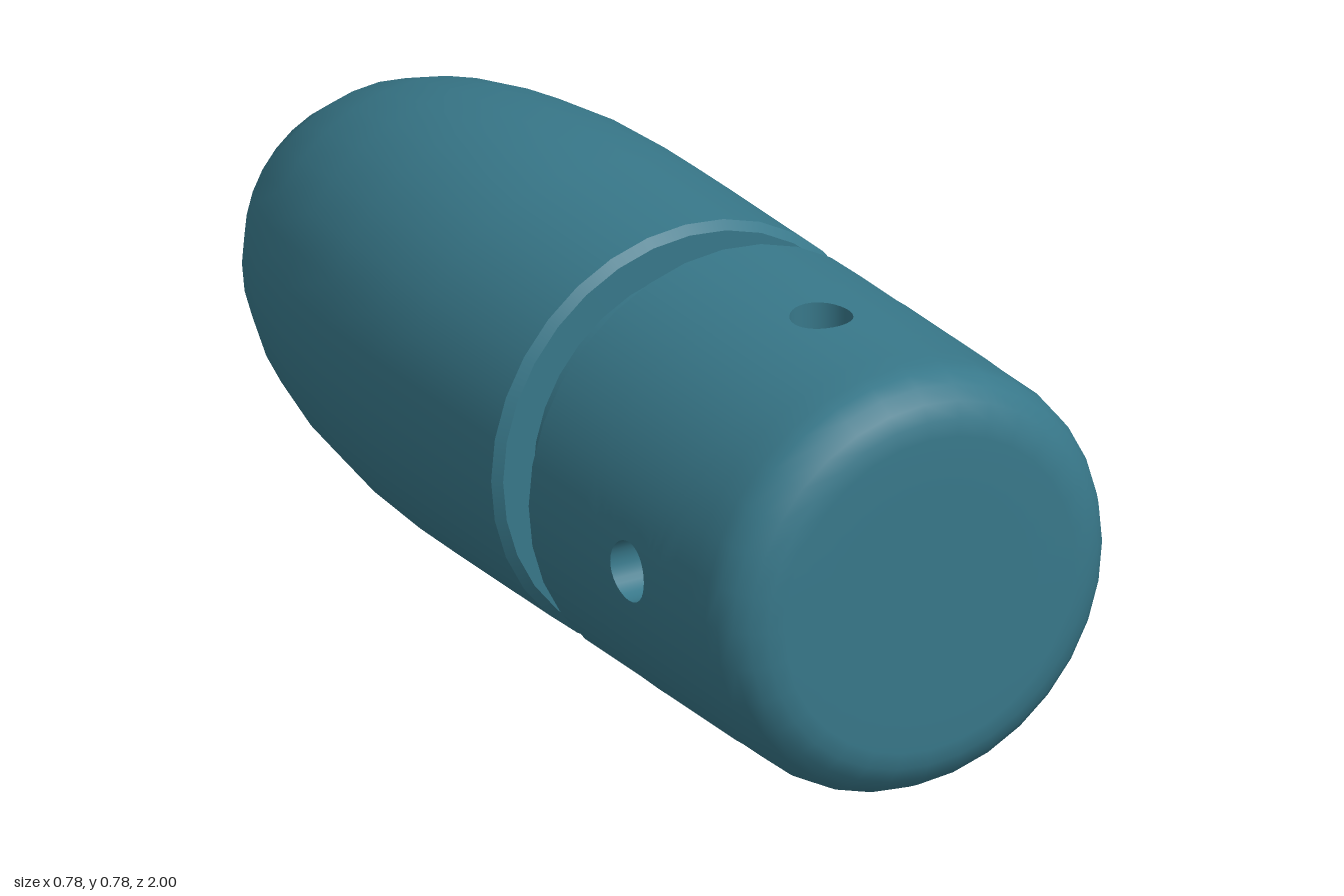
import * as THREE from 'three';
import { ParametricGeometry } from 'three/addons/geometries/ParametricGeometry.js';

const R = 0.39;          // body radius
const GROOVE_R = 0.315;
const HOLE_Z = 0.645, HOLE_R = 0.055, HOLE_DEPTH = 0.16;
const BAND = 0.145;      // half length of the band that carries the holes

const material = new THREE.MeshStandardMaterial({ color: 0x38788a });

function mesh(name, geometry) {
  const m = new THREE.Mesh(geometry, material);
  m.name = name;
  return m;
}

// Turned part along z; profile is [radius, z] with z rising
function turned(name, profile) {
  const points = profile.map(([r, z]) => new THREE.Vector2(r, z));
  return mesh(name, new THREE.LatheGeometry(points, 32).rotateX(Math.PI / 2));
}

// Quarter of the band: a rectangle with a round hole, rolled onto the cylinder
function bandPoint(u, v, target) {
  const side = Math.floor(u * 4), t = u * 4 - side;
  const turn = side * Math.PI / 2, c = Math.cos(turn), s = Math.sin(turn);
  const e = 2 * t - 1;
  const a = u * Math.PI * 2 - Math.PI / 4;
  const x = THREE.MathUtils.lerp((c - s * e) * R * Math.PI / 4, HOLE_R * Math.cos(a), v);
  const y = THREE.MathUtils.lerp((s + c * e) * BAND, HOLE_R * Math.sin(a), v);
  target.set(R * Math.sin(x / R), R * Math.cos(x / R), HOLE_Z - y);
}

// Wall of a hole, from the curved rim down to the flat floor
function holeWallPoint(u, v, target) {
  const a = u * Math.PI * 2 - Math.PI / 4;
  const angle = HOLE_R * Math.cos(a) / R;
  const y = THREE.MathUtils.lerp(R * Math.cos(angle), R - HOLE_DEPTH, v);
  target.set(R * Math.sin(angle), y, HOLE_Z - HOLE_R * Math.sin(a));
}

export function createModel() {
  const model = new THREE.Group();
  const body = new THREE.Group();
  body.name = 'body';
  body.position.y = R;
  model.add(body);

  // Rounded nose running into the straight forward body
  body.add(turned('nose', [
    [0, -1], [0.075, -0.986], [0.148, -0.95], [0.215, -0.892], [0.275, -0.803],
    [0.323, -0.685], [0.358, -0.54], [0.38, -0.38], [0.389, -0.22], [R, -0.1], [R, 0.2],
  ]));

  // Groove with chamfered lips on both sides
  body.add(turned('noseChamfer', [[R, 0.2], [0.375, 0.215]]));
  body.add(turned('grooveWallNose', [[0.375, 0.215], [GROOVE_R, 0.2151]]));
  body.add(turned('groove', [[GROOVE_R, 0.215], [GROOVE_R, 0.308]]));
  body.add(turned('grooveWallBase', [[GROOVE_R, 0.3079], [0.375, 0.308]]));
  body.add(turned('baseChamfer', [[0.375, 0.308], [R, 0.323]]));

  // Base: plain tube, drilled band, rounded end
  body.add(turned('baseTube', [[R, 0.323], [R, HOLE_Z - BAND]]));
  const end = [[R, HOLE_Z + BAND], [R, 0.85]];
  for (let i = 0; i <= 5; i++) {
    const a = i / 5 * Math.PI / 2;
    end.push([R - 0.1 + 0.1 * Math.cos(a), 0.9 + 0.1 * Math.sin(a)]);
  }
  end.push([0.2, 1], [0, 1]);
  body.add(turned('baseEnd', end));

  // Four blind holes around the base
  const band = new ParametricGeometry(bandPoint, 32, 8);
  const wall = new ParametricGeometry(holeWallPoint, 32, 2);
  const floor = new THREE.CircleGeometry(HOLE_R, 32)
    .rotateX(-Math.PI / 2).translate(0, R - HOLE_DEPTH, HOLE_Z);
  for (let i = 0; i < 4; i++) {
    const quarter = new THREE.Group();
    quarter.name = 'drilledQuarter' + (i + 1);
    quarter.rotation.z = i * Math.PI / 2;
    quarter.add(mesh('band', band), mesh('holeWall', wall), mesh('holeFloor', floor));
    body.add(quarter);
  }
  return model;
}
